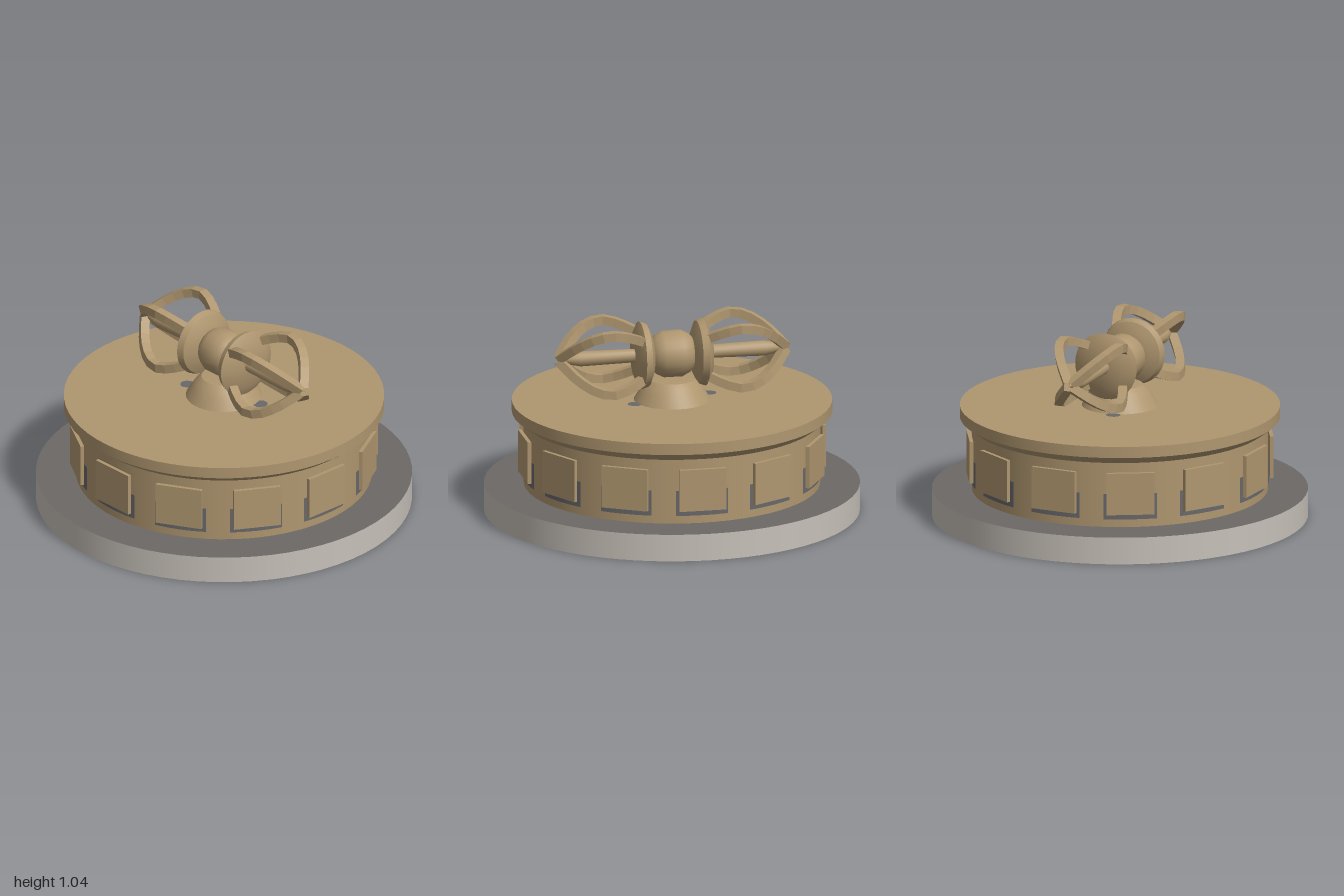
import * as THREE from 'three';
import { toCreasedNormals } from 'three/addons/utils/BufferGeometryUtils.js';

export function createModel() {
  const root = new THREE.Group();
  root.name = 'ritualSceptreOnPedestal';
  const mat = (name, color) => {
    const m = new THREE.MeshStandardMaterial({ color });
    m.name = name;
    return m;
  };
  const gold = mat('agedGold', 0xaf966f);
  const stone = mat('lightStone', 0xc6c0b8);
  const darkStone = mat('darkStone', 0x6d6965);
  const patina = mat('greyPatina', 0x68686b);
  stone.side = darkStone.side = THREE.DoubleSide;

  const add = (parent, name, geometry, material = gold) => {
    const mesh = new THREE.Mesh(geometry, material);
    mesh.name = name;
    parent.add(mesh);
    return mesh;
  };
  // profile as [radius, height] pairs, listed from the bottom up
  const lathe = (profile, segments, crease = 0.5) =>
    toCreasedNormals(
      new THREE.LatheGeometry(profile.map(([r, y]) => new THREE.Vector2(r, y)), segments),
      crease
    );

  // Stone plinth, hollow and open underneath
  add(root, 'plinthWall', new THREE.CylinderGeometry(1, 1, 0.147, 64, 1, true), stone)
    .position.y = 0.0735;
  const plinthTop = add(root, 'plinthTop', new THREE.CircleGeometry(1, 64), darkStone);
  plinthTop.rotation.x = -Math.PI / 2;
  plinthTop.position.y = 0.147;

  // Drum with flared cornice
  add(root, 'drum', new THREE.CylinderGeometry(0.788, 0.788, 0.37, 64, 1, true))
    .position.y = 0.332;
  add(root, 'cornice', lathe(
    [[0, 0.502], [0.795, 0.502], [0.852, 0.545], [0.852, 0.606], [0, 0.606]], 64));

  // Ring of thin raised panels, each over a weathered patch on the drum
  const panels = new THREE.Group();
  panels.name = 'drumPanels';
  root.add(panels);
  const panelGeometry = new THREE.BoxGeometry(0.255, 0.229, 0.02);
  const patchGeometry =
    new THREE.CylinderGeometry(0.792, 0.792, 0.14, 8, 1, true, -0.18, 0.36);
  for (let i = 0; i < 12; i++) {
    const a = (i / 12) * Math.PI * 2;
    const panel = add(panels, 'panel', panelGeometry);
    panel.position.set(Math.sin(a) * 0.8, 0.334, Math.cos(a) * 0.8);
    panel.rotation.y = a;
    const patch = add(panels, 'panelPatina', patchGeometry, patina);
    patch.position.y = 0.26;
    patch.rotation.y = a;
  }

  // Domed support
  add(root, 'domeSupport', lathe(
    [[0.207, 0.6], [0.172, 0.66], [0.148, 0.695], [0.12, 0.72], [0, 0.728]], 32));

  // Sceptre, lying along x
  const sceptre = new THREE.Group();
  sceptre.name = 'sceptre';
  sceptre.position.y = 0.858;
  root.add(sceptre);

  add(sceptre, 'centreKnob', lathe(
    [[0, -0.13], [0.075, -0.12], [0.105, -0.09], [0.125, -0.05],
      [0.125, 0.05], [0.105, 0.09], [0.075, 0.12], [0, 0.13]], 24, 0.8))
    .rotation.z = -Math.PI / 2;

  // One prong in the xy plane: axial position, distance from the axis
  const prongPath = new THREE.CatmullRomCurve3(
    [[0.18, 0.15], [0.27, 0.205], [0.36, 0.23], [0.45, 0.197], [0.53, 0.125], [0.612, 0.01]]
      .map(([x, r]) => new THREE.Vector3(x, r, 0)));
  const prongGeometry = toCreasedNormals(new THREE.TubeGeometry(prongPath, 9, 0.033, 4), 0.02);

  for (const side of [0, 1]) {
    const end = new THREE.Group();
    end.name = side ? 'rightEnd' : 'leftEnd';
    end.rotation.y = side * Math.PI;
    sceptre.add(end);

    add(end, 'collar', lathe(
      [[0, 0.1], [0.075, 0.104], [0.12, 0.115], [0.168, 0.137],
        [0.181, 0.172], [0.125, 0.203], [0, 0.206]], 32, 0.65))
      .rotation.z = -Math.PI / 2;

    add(end, 'spike', lathe(
      [[0.036, 0.2], [0.041, 0.5], [0.03, 0.55], [0, 0.625]], 16))
      .rotation.z = -Math.PI / 2;

    for (let i = 0; i < 4; i++) {
      add(end, 'prong', prongGeometry).rotation.x = Math.PI / 4 + (i * Math.PI) / 2;
    }

    // Weathered spot on the cornice beside the dome
    const spot = add(end, 'cornicePatina', new THREE.CircleGeometry(0.04, 10), patina);
    spot.rotation.x = -Math.PI / 2;
    spot.position.set(0.215, 0.609 - sceptre.position.y, -0.065);
  }
  return root;
}
